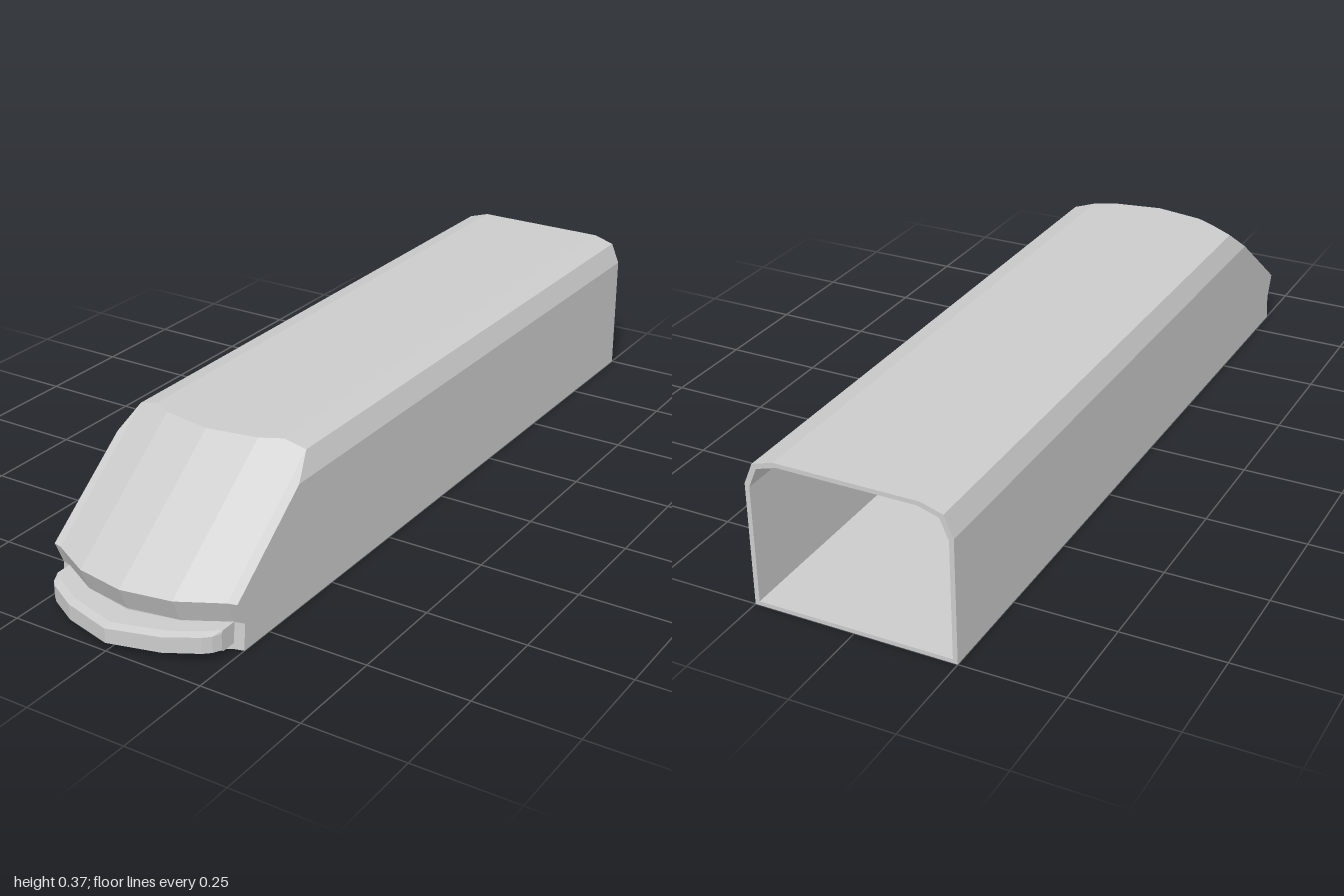
import * as THREE from 'three';

const material = new THREE.MeshStandardMaterial({ color: 0xcccccc, flatShading: true });

// Piecewise-linear lookup through [key, value] pairs
function lerpTable(table, k) {
  for (let i = 1; i < table.length; i++) {
    const [k0, v0] = table[i - 1], [k1, v1] = table[i];
    if (k <= k1) return v0 + (v1 - v0) * (k - k0) / (k1 - k0);
  }
  return table[table.length - 1][1];
}

// Skin a list of equal-length point rings
function loft(name, rings, closed) {
  const n = rings[0].length, index = [];
  for (let r = 0; r < rings.length - 1; r++) {
    for (let i = 0; i < (closed ? n : n - 1); i++) {
      const j = (i + 1) % n, a = r * n, b = a + n;
      index.push(a + i, a + j, b + i, a + j, b + j, b + i);
    }
  }
  const geometry = new THREE.BufferGeometry();
  geometry.setAttribute('position', new THREE.Float32BufferAttribute(rings.flat(2), 3));
  geometry.setIndex(index);
  geometry.computeVertexNormals();
  const mesh = new THREE.Mesh(geometry, material);
  mesh.name = name;
  return mesh;
}

// Nose silhouette along the centre line, and how far it sweeps back to the sides
const noseProfile = [[0, 0.925], [0.065, 0.92], [0.123, 0.945], [0.373, 0.62]];
const sweepBack = [[0, 0], [0.125, 0.022], [0.228, 0.077], [0.25, 0.083]];
const noseZ = (x, y) => lerpTable(noseProfile, y) - lerpTable(sweepBack, Math.abs(x));

// Columns across the body with the roof height at each
const half = [[0.25, 0.305], [0.228, 0.357], [0.175, 0.373], [0.125, 0.373]];
const columns = [...half, [0, 0.373], ...half.map(([x, y]) => [-x, y]).reverse()];
const lowRows = [0, 0.065, 0.123];

// Outer and inner wall positions
const outer = (x, y, z) => [x, y, z];
const inner = (x, y, z) => [x * 0.955, 0.01 + y * 0.945, z === -1 ? z : z - 0.025];

function createShell() {
  const outline = [
    ...lowRows.map((y) => [0.25, y]),
    ...columns,
    ...lowRows.map((y) => [-0.25, y]).reverse(),
    ...columns.slice(1, -1).reverse().map(([x]) => [x, 0]),
  ];
  const back = (wall) => outline.map(([x, y]) => wall(x, y, -1));
  const front = (wall) => outline.map(([x, y]) => wall(x, y, noseZ(x, y)));
  return loft('bodyShell', [front(inner), back(inner), back(outer), front(outer)], true);
}

function createNose(name, wall, cols) {
  return loft(name, cols.map(([x, top]) =>
    [...lowRows, top].map((y) => wall(x, y, noseZ(x, y)))), false);
}

// Curved bumper with a bevelled front edge and closed ends
function createBumper() {
  const side = [[0.227, 0.89], [0.217, 0.91], [0.2, 0.925], [0.125, 0.967]];
  const stations = [...side, [0, 1], ...side.map(([x, z]) => [-x, z]).reverse()];
  const rings = stations.map(([x, z]) => {
    const back = noseZ(x, 0.03) - 0.01;
    const top = 0.062 + 0.004 * Math.abs(x) / 0.227;
    const end = Math.abs(x) > 0.22;
    const lip = end ? z - 0.005 : z - 0.02;
    return [
      [x, 0.015, back], [x, 0.015, lip], [x, 0.02, z],
      [x, top - 0.006, z], [x, top, lip], [x, top, back],
    ];
  });
  const cap = (ring) => {
    const c = [0, 1, 2].map((k) => ring.reduce((s, p) => s + p[k], 0) / ring.length);
    return ring.map(() => c);
  };
  return loft('bumper', [cap(rings[0]), ...rings, cap(rings[rings.length - 1])], true);
}

export function createModel() {
  const model = new THREE.Group();
  model.name = 'trainCarShell';
  model.add(
    createShell(),
    createNose('noseFace', outer, columns),
    createNose('noseInside', inner, [...columns].reverse()),
    createBumper(),
  );
  return model;
}
